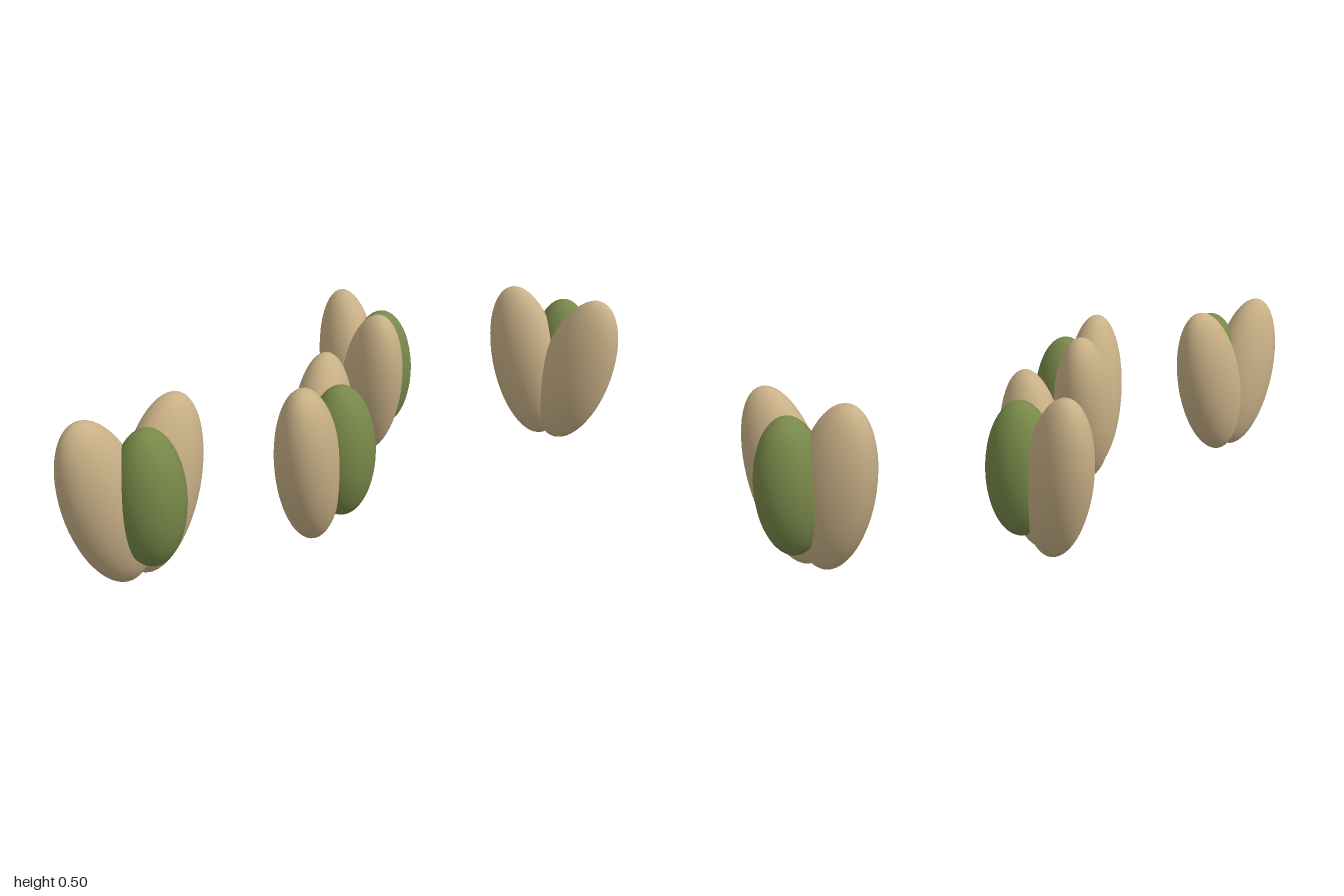
import * as THREE from 'three';

export function createModel() {
  const model = new THREE.Group();
  const tan = new THREE.MeshStandardMaterial({ color: 0xc8b086 });
  tan.name = 'tan husk';
  const green = new THREE.MeshStandardMaterial({ color: 0x788849 });
  green.name = 'green bud';
  const ball = new THREE.SphereGeometry(1, 40, 28);

  const ellipsoid = (name, material, radii, position) => {
    const mesh = new THREE.Mesh(ball, material);
    mesh.name = name;
    mesh.scale.set(...radii);
    mesh.position.set(...position);
    return mesh;
  };

  // Each cluster: two husks splayed outward and a bud nestled in front
  const spots = [[-0.775, 0.013], [-0.24, 0.157], [0.291, -0.197], [0.822, 0.186]];
  spots.forEach(([x, z], i) => {
    const cluster = new THREE.Group();
    cluster.name = `cluster${i + 1}`;
    for (const side of [-1, 1]) {
      const husk = ellipsoid(side < 0 ? 'rightHusk' : 'leftHusk', tan,
        [0.119, 0.26, 0.093], [side * 0.0915, 0.2525, 0]);
      husk.rotation.z = -side * 0.274;
      cluster.add(husk);
    }
    cluster.add(ellipsoid('bud', green, [0.1, 0.2, 0.1], [0, 0.265, 0.076]));
    cluster.position.set(x, 0, z);
    cluster.rotation.y = i * 0.6; // each cluster turns a little further
    model.add(cluster);
  });

  return model;
}
